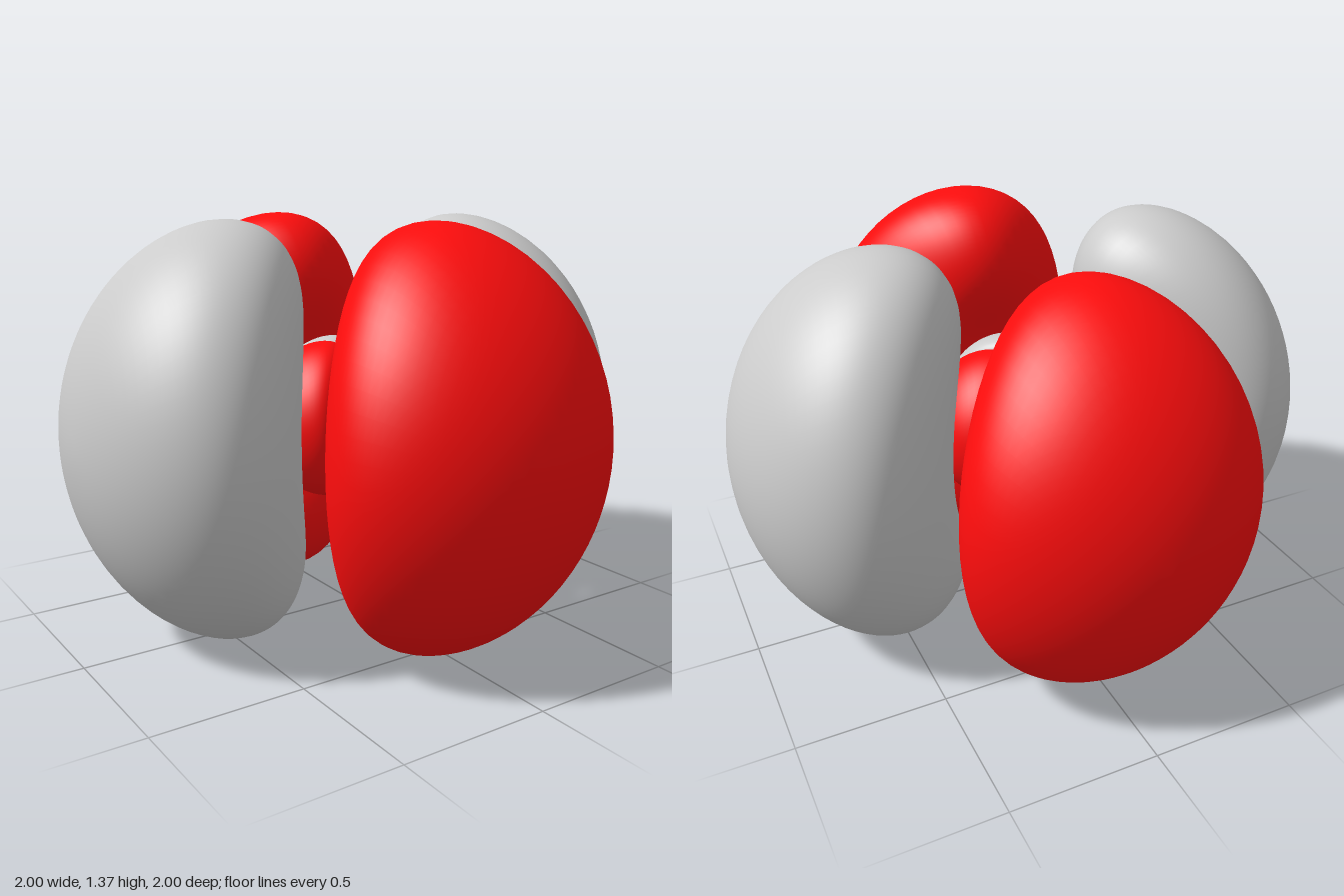
import * as THREE from 'three';
import { mergeVertices } from 'three/addons/utils/BufferGeometryUtils.js';

const CENTRE_Y = 0.683;

// Angular level of each lobe's skin at distance r from the centre (1 = on the axis)
const outerLevel = (r) => {
  const a = 6.25, q = 0.09, u = r * r;
  return ((1 - q) * Math.exp(a * (u - 1))) / (u * (u - q));
};
const innerLevel = (r) => (0.03 / r) ** 2 + (r / 0.325) ** 18;

// Distance between lo and hi at which the level crosses 1
function crossing(level, lo, hi) {
  const above = level(lo) > 1;
  for (let i = 0; i < 50; i++) {
    const mid = (lo + hi) / 2;
    if (level(mid) > 1 === above) lo = mid;
    else hi = mid;
  }
  return (lo + hi) / 2;
}

// Lobe along +x: each ring is the curve x^2 - z^2 = level * r^2 on a sphere of radius r
function lobeGeometry(level, rNear, rFar, rings = 56, sides = 64) {
  const positions = [], index = [];
  for (let i = 0; i <= rings; i++) {
    const r = (rNear + rFar) / 2 - ((rFar - rNear) / 2) * Math.cos((Math.PI * i) / rings);
    const A = i === 0 || i === rings ? 1 : Math.min(1, level(r));
    for (let j = 0; j < sides; j++) {
      const phi = (2 * Math.PI * j) / sides;
      const y = Math.sqrt(1 - A) * Math.cos(phi);
      const z = Math.sqrt((1 - A) / 2) * Math.sin(phi);
      positions.push(r * Math.sqrt(A + z * z), r * y, r * z);
      if (i < rings) {
        const a = i * sides + j, b = i * sides + ((j + 1) % sides);
        if (i > 0) index.push(a, b, a + sides);
        else index.push(a, b + sides, a + sides);
        if (i > 0 && i < rings - 1) index.push(b, b + sides, a + sides);
      }
    }
  }
  const geometry = new THREE.BufferGeometry();
  geometry.setAttribute('position', new THREE.Float32BufferAttribute(positions, 3));
  geometry.setIndex(index);
  const merged = mergeVertices(geometry, 1e-6);
  merged.computeVertexNormals();
  return merged;
}

export function createModel() {
  const model = new THREE.Group();
  model.name = 'fourLobedCloud';
  const grey = new THREE.MeshStandardMaterial({ color: 0xcccccc });
  const red = new THREE.MeshStandardMaterial({ color: 0xff0d0d });

  const outer = lobeGeometry(outerLevel, crossing(outerLevel, 0.301, 0.5), 1);
  const inner = lobeGeometry(
    innerLevel, crossing(innerLevel, 0.005, 0.15), crossing(innerLevel, 0.15, 0.4));

  // Four large lobes, each with a small lobe of the other colour inside it
  ['left', 'back', 'right', 'front'].forEach((side, i) => {
    const parts = [
      [outer, i % 2 ? red : grey, 'OuterLobe'],
      [inner, i % 2 ? grey : red, 'InnerLobe'],
    ];
    for (const [geometry, material, name] of parts) {
      const lobe = new THREE.Mesh(geometry, material);
      lobe.name = side + name;
      lobe.rotation.y = (i * Math.PI) / 2;
      lobe.position.y = CENTRE_Y;
      model.add(lobe);
    }
  });

  // Thin web joining the two red inner lobes
  const web = new THREE.Mesh(new THREE.BoxGeometry(0.07, 0.2, 0.012), red);
  web.name = 'centreWeb';
  web.position.y = CENTRE_Y;
  model.add(web);

  return model;
}
